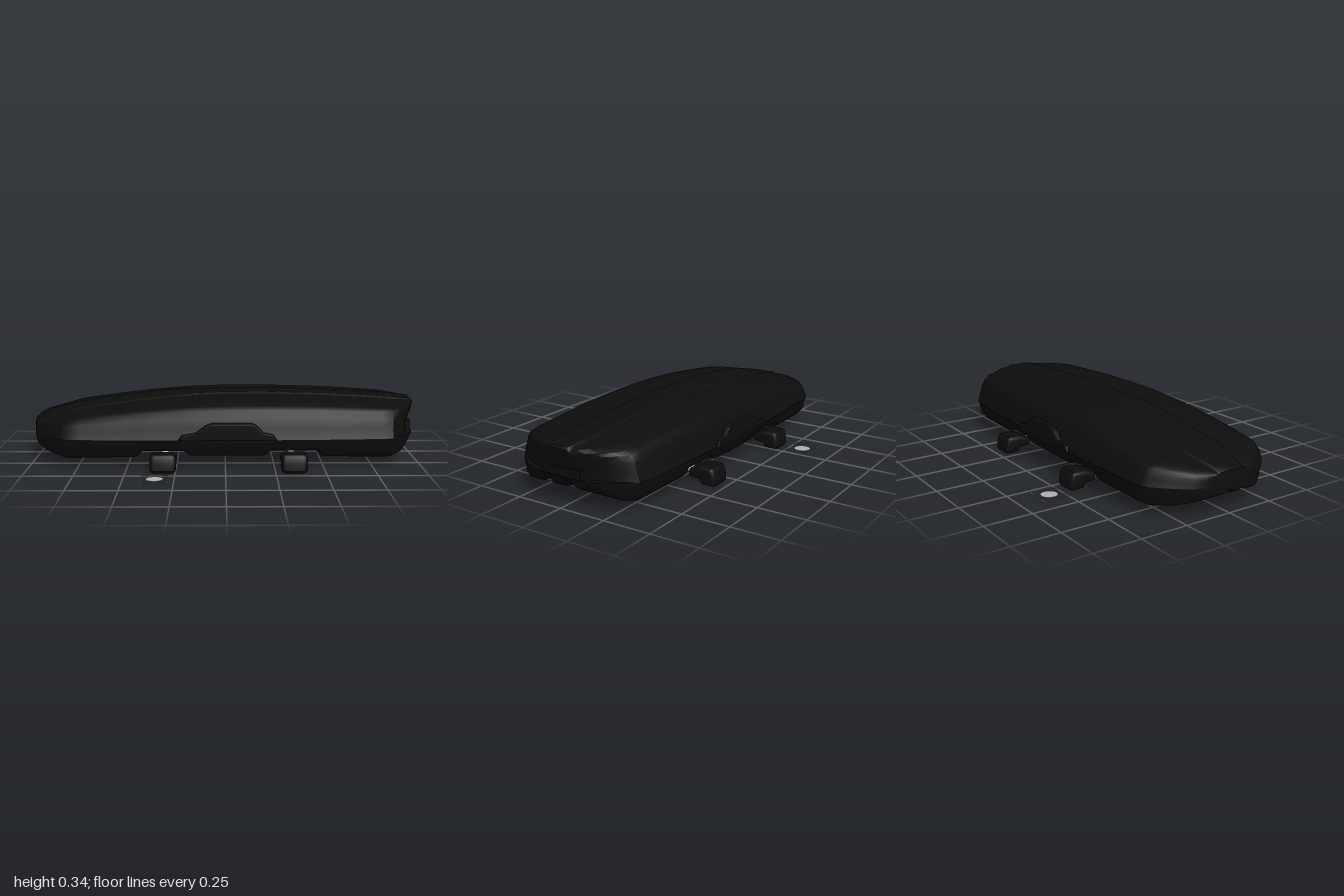
import * as THREE from 'three';
import { toCreasedNormals } from 'three/addons/utils/BufferGeometryUtils.js';

const paint = (name, color) => Object.assign(new THREE.MeshStandardMaterial({ color }), { name });

// piecewise linear lookup in a list of [x, value]
function at(table, x) {
  for (let i = 1; i < table.length; i++) {
    const [x0, v0] = table[i - 1], [x1, v1] = table[i];
    if (x <= x1) return v0 + (v1 - v0) * Math.max(0, (x - x0) / (x1 - x0));
  }
  return table[table.length - 1][1];
}

// closed skin over cross-sections; each is a half outline [x, y, z] from top centre to bottom centre
function loft(halves) {
  const rings = halves.map(h => [...h, ...h.slice(1, -1).reverse().map(([x, y, z]) => [x, y, -z])]);
  const n = rings[0].length, pos = rings.flat(2), idx = [];
  for (let i = 0; i < rings.length - 1; i++) {
    for (let j = 0; j < n; j++) {
      const a = i * n + j, b = i * n + (j + 1) % n;
      idx.push(a, b, a + n, b, b + n, a + n);
    }
  }
  // end caps
  [0, rings.length - 1].forEach((r, end) => {
    const c = pos.length / 3, ring = rings[r];
    pos.push(...[0, 1, 2].map(k => ring.reduce((s, p) => s + p[k], 0) / n));
    for (let j = 0; j < n; j++) {
      const p = r * n + j, q = r * n + (j + 1) % n;
      idx.push(c, ...(end ? [p, q] : [q, p]));
    }
  });
  const g = new THREE.BufferGeometry();
  g.setAttribute('position', new THREE.Float32BufferAttribute(pos, 3));
  g.setIndex(idx);
  return toCreasedNormals(g, 0.55);
}

const polygon = pts => new THREE.Shape(pts.map(p => new THREE.Vector2(...p)));

export function createModel() {
  const black = paint('black shell', 0x0d0d0d);
  const metal = paint('bar metal', 0xc8c8c8);
  const lightGrey = paint('marker grey', 0xb0b0b0);
  const darkGrey = paint('bracket grey', 0x6c6c6c);
  const model = new THREE.Group();
  const add = (name, geometry, material, x = 0, y = 0, z = 0, parent = model) => {
    const mesh = new THREE.Mesh(geometry, material);
    mesh.name = name;
    mesh.position.set(x, y, z);
    parent.add(mesh);
    return mesh;
  };
  const SEAM = 0.15;

  // plan half width, roof line and floor line along the box
  const width = [[-1, 0.12], [-0.99, 0.16], [-0.97, 0.205], [-0.9, 0.285], [-0.83, 0.355], [-0.8, 0.37], [-0.74, 0.377],
    [-0.4, 0.392], [0, 0.396], [0.4, 0.383], [0.8, 0.357], [0.85, 0.347], [0.9, 0.305], [0.95, 0.23], [0.98, 0.16], [1, 0.09]];
  const roof = [[-1, 0.21], [-0.97, 0.225], [-0.8, 0.262], [-0.6, 0.293], [-0.4, 0.318], [-0.2, 0.335], [0, 0.343],
    [0.2, 0.344], [0.5, 0.337], [0.8, 0.321], [0.97, 0.308], [0.99, 0.303], [1, 0.29]];
  const floor = [[-1, 0.105], [-0.96, 0.08], [-0.9, 0.06], [-0.8, 0.048], [-0.45, 0.057], [-0.42, 0.088], [-0.21, 0.088],
    [-0.18, 0.064], [0.2, 0.064], [0.23, 0.088], [0.46, 0.088], [0.49, 0.056], [0.84, 0.049], [0.89, 0.062], [0.93, 0.088], [0.975, 0.145]];
  const ridge = [[-1, 0.06], [-0.8, 0.1], [-0.22, 0.095], [-0.16, 0.072], [0.9, 0.07], [1, 0.05]];
  const stations = (...tables) => [...new Set(tables.flat().map(p => p[0]))].sort((a, b) => a - b);

  // lid with raised centre ridge; its rear face leans in below the top edge
  add('lid', loft(stations(width, roof, ridge).map(x => {
    const w = at(width, x), t = at(roof, x), h = t - SEAM, r = Math.min(at(ridge, x), w * 0.6);
    const lean = Math.max(0, (x - 0.85) / 0.15);
    return [[0, t], [r, t], [r + 0.012, t - 0.008], [w * 0.6, t - 0.07 * h], [w * 0.8, t - 0.16 * h], [w * 0.865, t - 0.25 * h],
      [w * 0.915, t - 0.45 * h], [w * 0.95, t - 0.68 * h], [w * 0.99, t - 0.95 * h], [w, SEAM], [0, SEAM]]
      .map(([z, y]) => [x - lean * 0.04 * Math.min(1, (t - y) / 0.1), y, z]);
  })), black);

  // base tray with bar recesses and lengthwise floor grooves
  const baseEnd = 0.975;
  add('base', loft(stations(width, floor).filter(x => x <= baseEnd).map(x => {
    const w = at(width, x) * 0.985, f = at(floor, x), d = SEAM - f;
    const groove = Math.min(0.014, d * 0.3);
    return [[0, SEAM + 0.004], [w, SEAM + 0.004], [w * 0.985, SEAM - 0.25 * d], [w * 0.95, f + 0.25 * d], [w * 0.89, f],
      [w * 0.6, f], [w * 0.57, f + groove], [w * 0.44, f + groove], [w * 0.41, f], [w * 0.16, f],
      [w * 0.1, f + groove], [0, f + groove]].map(([z, y]) => [x, y, z]);
  })), black);

  // rear catch under the lid edge
  add('rearCatch', new THREE.BoxGeometry(0.06, 0.045, 0.22), black, 0.95, 0.172, 0);

  // side latch panels with a narrow grip lip
  const latch = new THREE.ExtrudeGeometry(
    polygon([[-0.24, 0.15], [0.26, 0.15], [0.24, 0.18], [0.19, 0.19], [0.15, 0.23], [0.13, 0.237], [-0.07, 0.237], [-0.1, 0.225], [-0.15, 0.19], [-0.22, 0.178]]),
    { depth: 0.024, bevelEnabled: true, bevelSize: 0.005, bevelOffset: -0.005, bevelThickness: 0.005, bevelSegments: 2 });
  for (const s of [1, -1]) {
    add('latchPanel', latch, black, 0, 0, s * 0.382 - 0.012);
    add('gripLip', new THREE.BoxGeometry(0.48, 0.013, 0.05), black, 0.01, 0.147, s * 0.386);
  }

  // crossbars with a clamp foot at each end
  const foot = new THREE.ExtrudeGeometry(
    polygon([[0.385, 0], [0.455, 0], [0.464, 0.012], [0.46, 0.05], [0.45, 0.082], [0.44, 0.09], [0.37, 0.09], [0.34, 0.075], [0.315, 0.068], [0.315, 0.03], [0.365, 0.026], [0.38, 0.018]]),
    { depth: 0.09, bevelEnabled: true, bevelSize: 0.018, bevelOffset: -0.018, bevelThickness: 0.02, bevelSegments: 3 });
  foot.translate(0, 0, -0.045).rotateY(-Math.PI / 2);
  const footGeometry = toCreasedNormals(foot, 0.6);
  const barGeometry = new THREE.CylinderGeometry(0.018, 0.018, 0.7, 24).rotateX(Math.PI / 2);
  for (const x of [-0.312, 0.343]) {
    const bar = new THREE.Group();
    bar.name = 'crossbarAssembly';
    bar.position.x = x;
    model.add(bar);
    add('crossbar', barGeometry, metal, 0, 0.048, 0, bar);
    for (const turn of [0, Math.PI]) add('foot', footGeometry, black, 0, 0, 0, bar).rotation.y = turn;
  }

  // ground markers: disc with a dark rim inside four corner brackets
  const corner = new THREE.ExtrudeGeometry(
    polygon([[0.07, 0.07], [0.034, 0.07], [0.034, 0.061], [0.061, 0.061], [0.061, 0.034], [0.07, 0.034]]),
    { depth: 0.003, bevelEnabled: false }).rotateX(-Math.PI / 2);
  for (const s of [1, -1]) {
    const marker = new THREE.Group();
    marker.name = 'groundMarker';
    marker.position.set(-0.345, s > 0 ? 0.002 : 0, s * 0.57);
    model.add(marker);
    add('markerDisc', new THREE.CylinderGeometry(0.042, 0.042, 0.003, 32), lightGrey, 0, 0.0015, 0, marker);
    add('markerRim', new THREE.TorusGeometry(0.043, 0.0015, 6, 40).rotateX(Math.PI / 2), darkGrey, 0, 0.0015, 0, marker);
    for (let k = 0; k < 4; k++) add('markerBracket', corner, darkGrey, 0, 0, 0, marker).rotation.y = k * Math.PI / 2;
  }
  return model;
}
